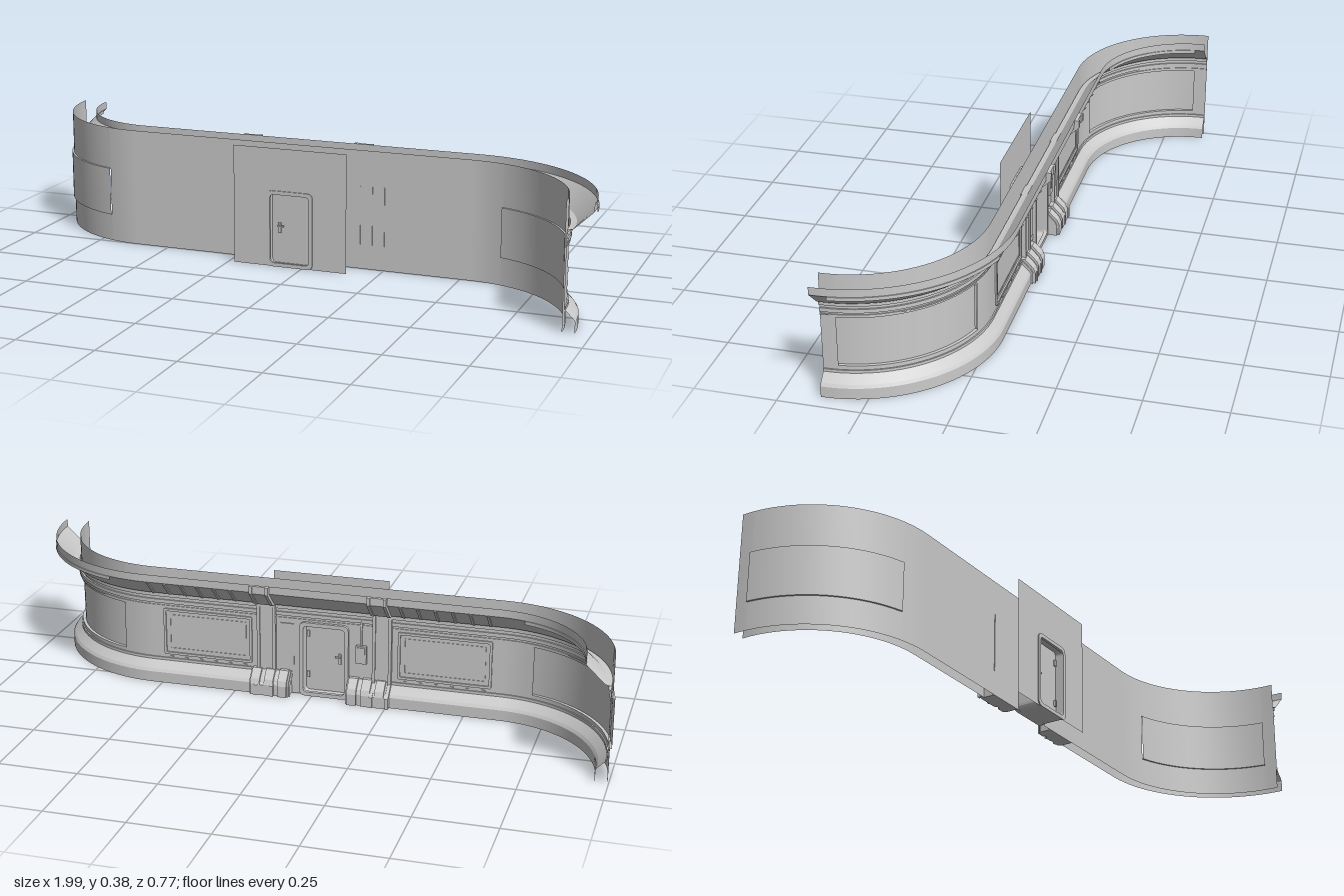
import * as THREE from 'three';

const R = 0.385, XL = -0.61, XR = 0.53, H = 0.385;
const mat = new THREE.MeshStandardMaterial({ color: 0xcccccc, side: THREE.DoubleSide });

// Wall path: s -1..0 left-hand bend, 0..1 straight, 1..2 right-hand bend; d = offset toward the front
const S = (x) => (x - XL) / (XR - XL);
function onPath(s, d, y) {
  if (s < 0) {
    const a = -s * Math.PI / 2;
    return [XL - (R + d) * Math.sin(a), y, -R + (R + d) * Math.cos(a)];
  }
  if (s > 1) {
    const a = (s - 1) * Math.PI / 2;
    return [XR + (R - d) * Math.sin(a), y, R - (R - d) * Math.cos(a)];
  }
  return [XL + s * (XR - XL), y, d];
}

// Sweeps a profile of [offset, height] points along the path, creased between profile edges
function sweep(profile, s0, s1) {
  const stops = [s0, s1];
  for (let i = -24; i <= 48; i++) {
    const s = i / 24;
    if (s > s0 && s < s1 && (s <= 0 || s >= 1)) stops.push(s);
  }
  stops.sort((a, b) => a - b);
  const pos = [], index = [];
  for (let j = 0; j < profile.length - 1; j++) {
    const base = pos.length / 3;
    stops.forEach((s, i) => {
      pos.push(...onPath(s, ...profile[j]), ...onPath(s, ...profile[j + 1]));
      if (i === 0) return;
      const a = base + 2 * (i - 1);
      index.push(a, a + 1, a + 2, a + 1, a + 3, a + 2);
    });
  }
  const g = new THREE.BufferGeometry();
  g.setAttribute('position', new THREE.Float32BufferAttribute(pos, 3));
  g.setIndex(index);
  g.computeVertexNormals();
  return g;
}

// Closed rectangular bar profile
const bar = (d0, d1, y0, y1) => [[d0, y0], [d1, y0], [d1, y1], [d0, y1], [d0, y0]];

// Solid slice of a profile between x0 and x1 on the straight part
function slice(profile, x0, x1) {
  const shape = new THREE.Shape(profile.map(([d, y]) => new THREE.Vector2(-d, y)));
  const g = new THREE.ExtrudeGeometry(shape, { depth: x1 - x0, bevelEnabled: false });
  return g.rotateY(Math.PI / 2).translate(x0, 0, 0);
}

// Gives a line of profile points a thickness toward the back
const thicken = (line, t) => [...line, ...line.map(([d, y]) => [d - t, y]).reverse()];

function roundRect(Type, x0, y0, x1, y1, r) {
  const p = new Type();
  p.moveTo(x0 + r, y0);
  p.lineTo(x1 - r, y0); p.quadraticCurveTo(x1, y0, x1, y0 + r);
  p.lineTo(x1, y1 - r); p.quadraticCurveTo(x1, y1, x1 - r, y1);
  p.lineTo(x0 + r, y1); p.quadraticCurveTo(x0, y1, x0, y1 - r);
  p.lineTo(x0, y0 + r); p.quadraticCurveTo(x0, y0, x0 + r, y0);
  return p;
}

// Rectangular ring of width w, running from z to z + depth
function ring(x0, y0, x1, y1, r, w, z, depth) {
  const s = roundRect(THREE.Shape, x0, y0, x1, y1, r);
  s.holes.push(roundRect(THREE.Path, x0 + w, y0 + w, x1 - w, y1 - w, r * 0.7));
  return new THREE.ExtrudeGeometry(s, { depth, bevelEnabled: false, curveSegments: 5 }).translate(0, 0, z);
}

export function createModel() {
  const model = new THREE.Group();
  const add = (name, geometry) => {
    const m = new THREE.Mesh(geometry, mat);
    m.name = name;
    model.add(m);
    return m;
  };
  const box = (name, x0, x1, y0, y1, z0, z1) =>
    add(name, new THREE.BoxGeometry(x1 - x0, y1 - y0, z1 - z0)
      .translate((x0 + x1) / 2, (y0 + y1) / 2, (z0 + z1) / 2));

  const door = { x0: -0.115, x1: 0.035, y1: 0.245 };
  const D0 = S(door.x0), D1 = S(door.x1);
  const B = -0.004, P0 = 0.09, P1 = 0.248;
  const panels = [[-0.93, -0.17], [1.18, 1.93]];

  // Flat front skin, left open at the door and at the bend panels
  const plain = [[-1, -0.93], [-0.17, D0], [D1, 1.18], [1.93, 2]];
  for (const [a, b] of plain) add('frontSkin', sweep([[0, 0], [0, H]], a, b));
  add('frontSkinOverDoor', sweep([[0, door.y1], [0, H]], D0, D1));

  // Inner skin on the back
  for (const [a, b] of plain) add('backSkin', sweep([[B, 0.07], [B, 0.302]], a, b));
  add('backSkinOverDoor', sweep([[B, door.y1], [B, 0.302]], D0, D1));

  // Recessed panels in both bends
  for (const [a, b] of panels) {
    add('frontSkinBend', sweep([[0, 0], [0, P0], [0.006, P0], [0.006, P1], [0, P1], [0, H]], a, b));
    add('backSkinBendLower', sweep([[B, 0.07], [B, P0], [0.006, P0]], a, b));
    add('backSkinBendUpper', sweep([[0.006, P1], [B, P1], [B, 0.302]], a, b));
    for (const s of [a, b]) add('bendPanelEnd', sweep(bar(B - 0.001, 0.006, P0, P1), s - 0.004, s + 0.004));
  }

  // Flared top lip and bottom skirt
  const lip = [[B, 0.302], [-0.022, 0.305], [-0.08, 0.36], [-0.08, H]];
  const skirt = [[-0.037, 0], [-0.037, 0.035], [-0.031, 0.044], [B, 0.07]];
  add('topLip', sweep(lip, -1, 2));
  add('bottomSkirt', sweep(skirt, -1, S(-0.13)));
  add('bottomSkirt', sweep(skirt, S(0.065), 2));

  // Long trims under the lip and above the skirt
  add('upperTrim', sweep(bar(-0.013, B, 0.29, 0.303), -1, 2));
  add('upperRail', sweep(bar(-0.009, B, 0.266, 0.278), -1, 2));
  add('upperBead', sweep(bar(-0.007, B, 0.255, 0.259), -1, 2));
  add('lowerTrim', sweep(bar(-0.008, B, 0.068, 0.077), -1, S(-0.13)));
  add('lowerTrim', sweep(bar(-0.008, B, 0.068, 0.077), S(0.065), 2));
  for (const [a, b] of panels) add('lipStrip', sweep(bar(-0.083, -0.08, 0.349, 0.36), a, b));

  // Heavy ribs on each side of the doorway, with clamps around the skirt
  const line = [[0, 0.302], [-0.022, 0.305], [-0.08, 0.36], [-0.08, H]];
  const ribLine = [[-0.037, 0], [-0.037, 0.035], [0, 0.07], ...line];
  for (const x of [-0.23, 0.15]) {
    add('rib', slice(thicken(ribLine, 0.011), x - 0.022, x + 0.022));
    for (const e of [-0.026, 0.026]) add('ribEdge', slice(thicken(ribLine, 0.016), x + e - 0.005, x + e + 0.005));
  }
  const clamp = (t) => [[0, 0], [-0.037 - t, 0], [-0.037 - t, 0.037], [-0.03 - t, 0.047 + t / 2], [B - t, 0.074 + t / 2], [0, 0.074 + t / 2]];
  for (const x0 of [-0.25, 0.07]) {
    add('skirtClamp', slice(clamp(0.006), x0, x0 + 0.13));
    for (const k of [0.005, 0.05, 0.095]) add('skirtClampBand', slice(clamp(0.013), x0 + k, x0 + k + 0.03));
  }

  // Slim brackets below the lip on the straight part
  for (let x = -0.58; x < 0.53; x += 0.055) {
    if (x > -0.3 && x < 0.2) continue;
    add('lipBracket', slice(thicken([[-0.022, 0.305], [-0.078, 0.358]], 0.006), x, x + 0.008));
  }

  // Framed panels on the straight part
  for (const [a, b] of [[-0.58, -0.28], [0.2, 0.5]]) {
    add('panelFrame', ring(a, P0, b, P1, 0.006, 0.008, -0.009, 0.007));
    add('panelInset', ring(a + 0.02, P0 + 0.02, b - 0.02, P1 - 0.02, 0.004, 0.003, -0.006, 0.004));
    for (let i = 0; i < 6; i++) box('panelStud', a + 0.02 + i * 0.05, a + 0.03 + i * 0.05, 0.079, 0.084, -0.008, -0.003);
  }

  // Narrow seams on the front skin beside the entrance
  for (const x of [-0.25, 0.17, 0.21, 0.25]) box('frontSeam', x - 0.0015, x + 0.0015, 0.08, 0.27, -0.002, 0.002);

  // Free-standing entrance sheet ahead of the wall
  const sheet = new THREE.Shape();
  sheet.moveTo(-0.23, 0); sheet.lineTo(0.15, 0); sheet.lineTo(0.15, H); sheet.lineTo(-0.23, H);
  sheet.holes.push(roundRect(THREE.Path, door.x0 + 0.003, 0.003, door.x1 - 0.003, door.y1 - 0.003, 0.018));
  add('entranceSheet', new THREE.ShapeGeometry(sheet, 5).translate(0, 0, 0.073));

  // Door tunnel, frames, leaf and fittings
  add('doorTunnel', ring(door.x0, 0, door.x1, door.y1, 0.02, 0.006, -0.008, 0.082));
  add('doorFrameFront', ring(door.x0 - 0.003, 0, door.x1 + 0.003, door.y1 + 0.003, 0.02, 0.012, 0.068, 0.009));
  add('doorFrameBack', ring(door.x0 - 0.006, 0, door.x1 + 0.006, door.y1 + 0.006, 0.02, 0.013, -0.014, 0.012));
  const leaf = roundRect(THREE.Shape, door.x0 + 0.005, 0.005, door.x1 - 0.005, door.y1 - 0.005, 0.016);
  add('doorLeaf', new THREE.ExtrudeGeometry(leaf, { depth: 0.016, bevelEnabled: false, curveSegments: 5 }).translate(0, 0, 0.03));
  for (const z of [0.046, 0.024]) {
    box('doorHandlePlate', -0.088, -0.078, 0.105, 0.138, z, z + 0.006);
    box('doorHandle', -0.088, -0.068, 0.126, 0.131, z === 0.046 ? 0.052 : 0.019, z === 0.046 ? 0.057 : 0.024);
    for (const y of [0.05, 0.19]) box('doorHinge', 0.017, 0.025, y, y + 0.02, z, z + 0.006);
  }

  // Small fittings on the back beside the door
  box('controlBox', -0.18, -0.145, 0.13, 0.19, -0.014, -0.003);
  box('controlBoxLid', -0.175, -0.15, 0.155, 0.185, -0.017, -0.014);
  box('conduit', -0.165, -0.159, 0.19, 0.27, -0.01, -0.003);
  box('wallPlate', 0.06, 0.105, 0.1, 0.24, -0.008, -0.003);

  return model;
}
